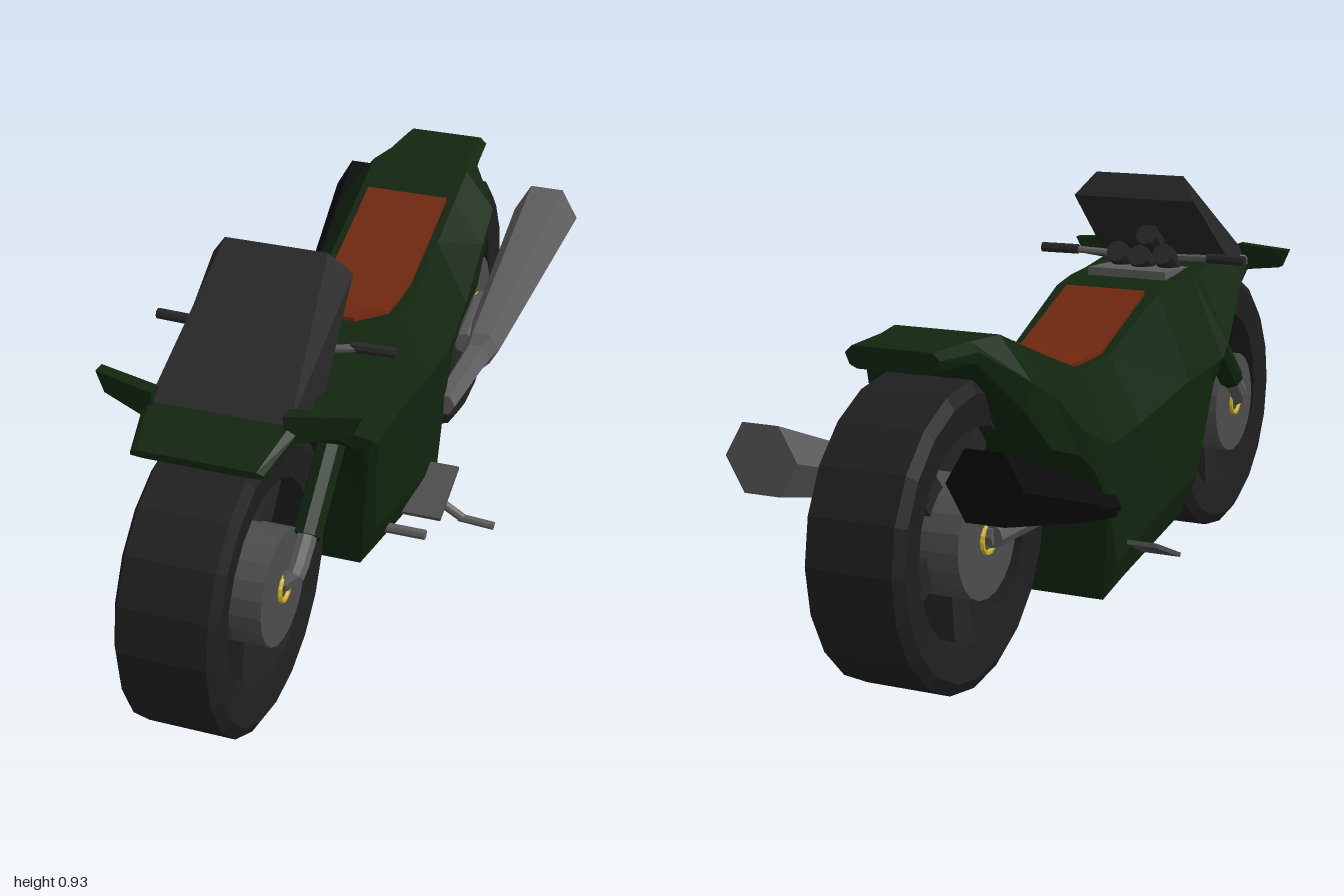
import * as THREE from 'three';

const V = (x, y, z) => new THREE.Vector3(x, y, z);
const mat = (color) => new THREE.MeshStandardMaterial({ color, flatShading: true, side: THREE.DoubleSide });
const green = mat(0x11260f), rubber = mat(0x1f1f1f), dark = mat(0x262626), black = mat(0x0c0c0c);
const steel = mat(0x5c5c5c), hubGrey = mat(0x4c4c4c), leather = mat(0x702810), yellow = mat(0xc8b020);

function add(parent, name, geo, material) {
  const m = new THREE.Mesh(geo, material);
  m.name = name;
  parent.add(m);
  return m;
}

// Skin over a row of rings; the first ring runs counter-clockwise seen from outside its end
function loft(rings) {
  const out = [], n = rings[0].length, last = rings.length - 1;
  const tri = (...p) => p.forEach((v) => out.push(v.x, v.y, v.z));
  for (let i = 0; i < last; i++) {
    for (let j = 0; j < n; j++) {
      const k = (j + 1) % n, a = rings[i], b = rings[i + 1];
      tri(a[j], b[j], a[k]);
      tri(a[k], b[j], b[k]);
    }
  }
  for (let j = 1; j < n - 1; j++) {
    tri(rings[0][0], rings[0][j], rings[0][j + 1]);
    tri(rings[last][0], rings[last][j + 1], rings[last][j]);
  }
  const g = new THREE.BufferGeometry();
  g.setAttribute('position', new THREE.Float32BufferAttribute(out, 3));
  g.computeVertexNormals();
  return g;
}

// Straight round bar between two points
function rod(parent, name, a, b, r, material, sides = 8) {
  const m = add(parent, name, new THREE.CylinderGeometry(r, r, a.distanceTo(b), sides), material);
  m.position.copy(a).lerp(b, 0.5);
  m.quaternion.setFromUnitVectors(V(0, 1, 0), b.clone().sub(a).normalize());
  return m;
}

// Build the same thing on the left and mirrored on the right
function both(parent, name, build) {
  for (const s of [1, -1]) {
    const g = new THREE.Group();
    g.name = name + (s > 0 ? 'Left' : 'Right');
    g.scale.x = s;
    build(g, s);
    parent.add(g);
  }
}

function wheel(name, z) {
  const g = new THREE.Group();
  g.name = name;
  const profile = [[0.225, -0.1], [0.295, -0.11], [0.32, -0.095], [0.32, 0.095], [0.295, 0.11], [0.225, 0.1], [0.225, -0.1]];
  add(g, 'tyre', new THREE.LatheGeometry(profile.map((p) => new THREE.Vector2(...p)), 20), rubber).rotation.z = -Math.PI / 2;
  add(g, 'hub', new THREE.CylinderGeometry(0.125, 0.125, 0.26, 20), hubGrey).rotation.z = Math.PI / 2;
  for (let i = 0; i < 5; i++) {
    const a = THREE.MathUtils.degToRad(48 + 72 * i);
    const s = add(g, 'spoke', new THREE.BoxGeometry(0.12, 0.15, 0.07), dark);
    s.position.set(0, Math.sin(a) * 0.165, -Math.cos(a) * 0.165);
    s.rotation.x = a - Math.PI / 2;
    s.rotation.x = Math.atan2(-Math.cos(a), Math.sin(a));
  }
  for (const s of [1, -1]) {
    const ring = add(g, 'axleRing', new THREE.TorusGeometry(0.028, 0.006, 6, 14), yellow);
    ring.rotation.y = Math.PI / 2;
    ring.position.x = s * 0.132;
  }
  g.position.set(0, 0.32, z);
  return g;
}

export function createModel() {
  const root = new THREE.Group();
  root.name = 'motorcycle';
  const bike = new THREE.Group();
  bike.name = 'bike';
  bike.position.x = -0.01;
  root.add(bike);

  bike.add(wheel('frontWheel', 0.68), wheel('rearWheel', -0.68));

  // Bodywork: z, then height and half width of top edge, waist and belly
  const sections = [
    [0.80, 0.66, 0.125, 0.655, 0.14, 0.645, 0.14],
    [0.68, 0.705, 0.15, 0.69, 0.165, 0.655, 0.16],
    [0.58, 0.715, 0.15, 0.66, 0.185, 0.635, 0.18],
    [0.40, 0.70, 0.14, 0.53, 0.22, 0.49, 0.20],
    [0.36, 0.695, 0.14, 0.5, 0.222, 0.42, 0.20],
    [0.28, 0.69, 0.14, 0.49, 0.217, 0.135, 0.19],
    [0.18, 0.68, 0.13, 0.48, 0.21, 0.117, 0.19],
    [-0.07, 0.58, 0.12, 0.43, 0.195, 0.072, 0.19],
    [-0.18, 0.577, 0.12, 0.42, 0.195, 0.048, 0.19],
    [-0.23, 0.58, 0.12, 0.42, 0.195, 0.25, 0.19],
    [-0.30, 0.605, 0.12, 0.45, 0.195, 0.36, 0.185],
    [-0.37, 0.63, 0.12, 0.48, 0.195, 0.41, 0.185],
    [-0.50, 0.68, 0.12, 0.58, 0.195, 0.43, 0.185],
    [-0.60, 0.72, 0.12, 0.63, 0.19, 0.54, 0.18],
    [-0.69, 0.72, 0.10, 0.70, 0.12, 0.67, 0.115],
    [-0.82, 0.72, 0.09, 0.705, 0.105, 0.675, 0.095],
  ];
  add(bike, 'bodywork', loft(sections.map(([z, ty, tw, my, mw, by, bw]) => {
    const half = [[bw * 0.82, by], [bw, by + 0.25 * (my - by)], [mw, my], [tw, ty]];
    return [...half.map(([x, y]) => V(x, y, z)), ...half.reverse().map(([x, y]) => V(-x, y, z))];
  })), green);

  // Seat strip following the saddle line
  const saddle = [[0.17, 0.677], [-0.07, 0.58], [-0.18, 0.577], [-0.23, 0.58], [-0.30, 0.605], [-0.37, 0.63], [-0.5, 0.68]];
  add(bike, 'seat', loft(saddle.map(([z, y]) =>
    [V(-0.1, y - 0.02, z), V(0.1, y - 0.02, z), V(0.1, y + 0.008, z), V(-0.1, y + 0.008, z)])), leather);

  // Windshield wedge
  add(bike, 'windshield', loft([
    [V(-0.168, 0.71, 0.53), V(0.168, 0.71, 0.53), V(0.15, 0.705, 0.685), V(-0.15, 0.705, 0.685)],
    [V(-0.155, 0.875, 0.33), V(0.155, 0.875, 0.33), V(0.113, 0.93, 0.365), V(-0.113, 0.93, 0.365)],
  ]), dark);

  // Instruments behind the windshield
  const panel = add(bike, 'dashPanel', new THREE.BoxGeometry(0.2, 0.02, 0.2), steel);
  panel.position.set(0, 0.695, 0.39);
  panel.rotation.x = 0.05;
  for (const [x, y, z] of [[-0.06, 0.725, 0.39], [0, 0.72, 0.38], [0.06, 0.725, 0.39], [0, 0.765, 0.43]]) {
    rod(bike, 'gauge', V(x, y - 0.015, z + 0.025), V(x, y + 0.015, z - 0.02), 0.028, dark, 10);
  }

  both(bike, 'steering', (g) => {
    rod(g, 'handlebar', V(0.05, 0.725, 0.42), V(0.19, 0.735, 0.385), 0.009, steel);
    rod(g, 'grip', V(0.17, 0.735, 0.385), V(0.265, 0.735, 0.38), 0.012, dark);
    rod(g, 'mirrorStalk', V(0.14, 0.69, 0.62), V(0.165, 0.69, 0.67), 0.016, steel);
    add(g, 'sideWinglet', loft([
      [V(0.14, 0.665, 0.66), V(0.14, 0.665, 0.695), V(0.14, 0.73, 0.695), V(0.14, 0.73, 0.66)],
      [V(0.265, 0.685, 0.62), V(0.265, 0.685, 0.65), V(0.285, 0.728, 0.645), V(0.285, 0.728, 0.615)],
    ]), green);
    // Fork leg curling in to the hub
    const curve = new THREE.CatmullRomCurve3([V(0.115, 0.33, 0.68), V(0.146, 0.34, 0.67), V(0.152, 0.38, 0.625), V(0.152, 0.43, 0.57)]);
    add(g, 'forkLower', new THREE.TubeGeometry(curve, 8, 0.022, 8), steel);
    rod(g, 'forkUpper', V(0.152, 0.4, 0.6), V(0.152, 0.56, 0.43), 0.031, green);
  });

  both(bike, 'rearDrive', (g, s) => {
    const hex = (x, y, z, r) => Array.from({ length: 6 }, (_, i) =>
      V(x + r * Math.cos(i * Math.PI / 3), y + r * Math.sin(i * Math.PI / 3), z));
    add(g, 'exhaust', loft([
      hex(0.19, 0.28, -0.22, 0.028), hex(0.215, 0.325, -0.4, 0.035), hex(0.222, 0.34, -0.42, 0.045), hex(0.246, 0.495, -0.91, 0.083),
    ]), s > 0 ? steel : black);
    rod(g, 'swingArm', V(0.145, 0.33, -0.69), V(0.18, 0.345, -0.42), 0.026, steel);
    rod(g, 'axleEnd', V(0.11, 0.33, -0.68), V(0.15, 0.33, -0.68), 0.022, steel);
  });

  // Tilted footplates
  both(bike, 'footrest', (g) => {
    const plate = add(g, 'footPlate', new THREE.BoxGeometry(0.11, 0.01, 0.155), hubGrey);
    plate.position.set(0.205, 0.142, -0.055);
    plate.rotation.x = 0.4;
  });

  // Left-side pedal and kickstand
  rod(bike, 'gearPedal', V(0.15, 0.14, 0.13), V(0.26, 0.14, 0.13), 0.012, steel);
  rod(bike, 'kickstandLeg', V(0.14, 0.09, -0.155), V(0.265, 0.016, -0.155), 0.011, steel);
  rod(bike, 'kickstandFoot', V(0.255, 0.016, -0.155), V(0.343, 0.01, -0.155), 0.01, steel);

  return root;
}
